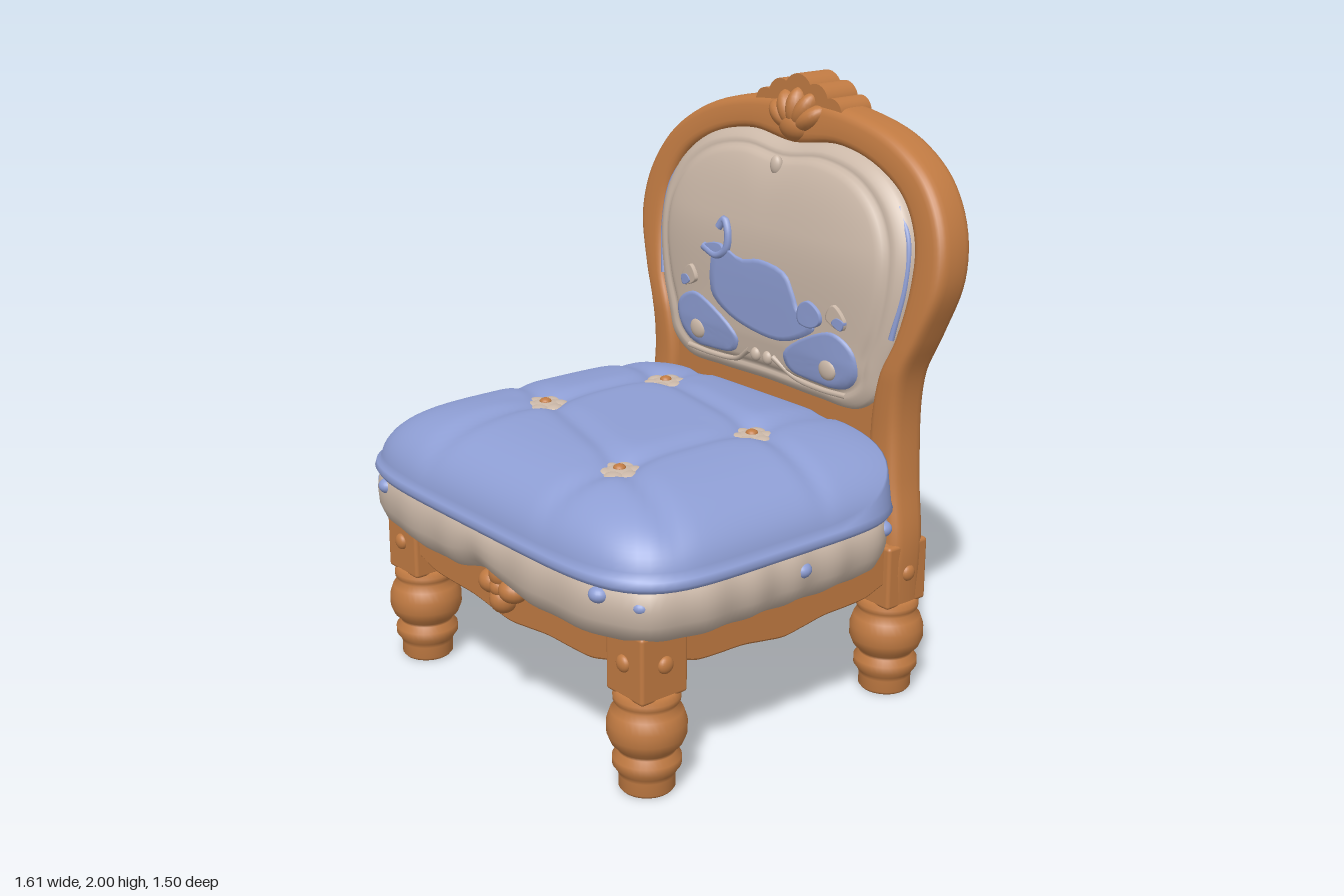
import * as THREE from 'three';
import { RoundedBoxGeometry } from 'three/addons/geometries/RoundedBoxGeometry.js';

const mat = (name, color) => Object.assign(new THREE.MeshStandardMaterial({ color }), { name });

export function createModel() {
  const wood = mat('wood', 0xc07a42), blue = mat('blue fabric', 0x8e9ed4), cream = mat('cream fabric', 0xcbb8a8);
  const root = new THREE.Group();
  root.name = 'chair';
  const add = (name, geo, m, x = 0, y = 0, z = 0) => {
    const mesh = new THREE.Mesh(geo, m);
    mesh.name = name;
    mesh.position.set(x, y, z);
    root.add(mesh);
    return mesh;
  };
  const blob = (name, m, x, y, z, sx, sy, sz, rz = 0) => {
    const b = add(name, new THREE.SphereGeometry(1, 20, 14), m, x, y, z);
    b.scale.set(sx, sy, sz);
    b.rotation.z = rz;
  };
  // Smooth surface f(u, v), closed around u
  const surface = (f, nu, nv) => {
    const pos = [], idx = [];
    for (let j = 0; j <= nv; j++) for (let i = 0; i < nu; i++) pos.push(...f(i / nu, j / nv));
    for (let j = 0; j < nv; j++) for (let i = 0; i < nu; i++) {
      const k = (i + 1) % nu, a = j * nu + i, b = j * nu + k, c = b + nu, d = a + nu;
      idx.push(a, b, c, a, c, d);
    }
    const g = new THREE.BufferGeometry();
    g.setAttribute('position', new THREE.Float32BufferAttribute(pos, 3));
    g.setIndex(idx);
    g.computeVertexNormals();
    return g;
  };
  const spline = (pts, closed = false) => new THREE.CatmullRomCurve3(pts.map(p => new THREE.Vector3(p[0], p[1], p[2] || 0)), closed);
  const mirror = pts => pts.map(([x, y]) => [-x, y]).reverse();
  const sp = (v, e) => Math.sign(v) * Math.abs(v) ** e;
  const gauss = (d, w) => Math.exp(-((d / w) ** 2));
  const step = THREE.MathUtils.smoothstep;

  // Backward lean of the back at height y
  const lean = y => -0.51 - 0.04 * step(y, 0.4, 0.95) - 0.12 * Math.max(0, (y - 1.1) / 0.8) ** 1.15;

  // Bent back frame with both posts
  const outer = [[.68, .33], [.68, .55], [.64, .75], [.62, .95], [.635, 1.1], [.69, 1.24], [.748, 1.42], [.728, 1.58], [.635, 1.73], [.47, 1.84], [.25, 1.9], [0, 1.92]];
  const inner = [[.5, .33], [.5, .55], [.5, .75], [.5, .95], [.53, 1.1], [.58, 1.22], [.61, 1.4], [.6, 1.54], [.53, 1.66], [.4, 1.74], [.21, 1.785], [0, 1.76]];
  const arch = half => spline([...half.map(([x, y]) => [-x, y]), ...half.slice(0, -1).reverse()]);
  const oc = arch(outer), ic = arch(inner);
  add('backFrame', surface((u, v) => {
    const o = oc.getPoint(v), i = ic.getPoint(v), a = u * Math.PI * 2;
    const k = 0.5 + 0.5 * sp(Math.cos(a), 0.55), y = i.y + (o.y - i.y) * k;
    return [i.x + (o.x - i.x) * k, y, lean(y) + 0.076 * sp(Math.sin(a), 0.55)];
  }, 28, 120), wood);

  // Padded back panels
  const half = [[.25, .945], [.42, .95], [.51, 1.01], [.54, 1.1], [.585, 1.22], [.615, 1.4], [.6, 1.54], [.53, 1.66], [.4, 1.75], [.21, 1.79]];
  const rim = spline([[0, .95], ...half, [0, 1.77], ...mirror(half)], true);
  const CY = 1.38, rimPts = rim.getPoints(400);
  const frontZ = (s, y) => lean(y) + 0.045 + (0.055 + 0.05 * step(y, 1.05, 1.5)) * Math.sqrt(Math.max(0, 1 - s ** 4)) - 0.012 * gauss(s - 0.88, 0.025);
  const panelZ = (x, y) => {
    const a = Math.atan2(y - CY, x);
    let best = 9, r = 1;
    for (const p of rimPts) {
      const d = Math.abs(Math.atan2(p.y - CY, p.x) - a);
      if (d < best) { best = d; r = Math.hypot(p.x, p.y - CY); }
    }
    return frontZ(Math.min(1, Math.hypot(x, y - CY) / r), y);
  };
  add('backPanelFront', surface((u, v) => {
    const p = rim.getPoint(u), s = 1 - v ** 1.3, y = CY + (p.y - CY) * s * 1.01;
    return [p.x * s * 1.01, y, frontZ(s, y)];
  }, 120, 40), cream);
  add('backPanelRear', surface((u, v) => {
    const p = rim.getPoint(1 - u), s = 1 - v ** 1.5, y = CY + 0.01 + (p.y - CY) * s * 0.96;
    return [p.x * s, y, lean(y) - 0.05 - 0.052 * Math.sqrt(Math.max(0, 1 - s ** 5))];
  }, 100, 24), blue);
  for (const s of [-1, 1])
    add('sidePiping', new THREE.TubeGeometry(spline([[.575, 1.22], [.603, 1.4], [.59, 1.54], [.53, 1.64]].map(([x, y]) => [s * x, y, lean(y) + .068])), 40, .01, 8), blue);

  // Raised fabric motif on the back
  const patch = (name, m, pts, lift = 0.008) => {
    const c = spline(pts, true), n = pts.length;
    const cx = pts.reduce((t, p) => t + p[0], 0) / n, cy = pts.reduce((t, p) => t + p[1], 0) / n;
    add(name, surface((u, v) => {
      const p = c.getPoint(u), s = v < 0.1 ? 1 : 1 - (v - 0.1) / 0.9;
      const x = cx + (p.x - cx) * s, y = cy + (p.y - cy) * s;
      return [x, y, panelZ(x, y) + (v === 0 ? -0.006 : lift)];
    }, 40, 10), m);
  };
  const strand = (name, m, pts, r) => add(name, new THREE.TubeGeometry(spline(pts.map(([x, y]) => [x, y, panelZ(x, y) + 0.003])), 30, r, 8), m);
  patch('motifBody', blue, [[-.25, 1.23], [-.18, 1.17], [-.05, 1.13], [.1, 1.12], [.2, 1.15], [.27, 1.2], [.2, 1.24], [.17, 1.3], [.13, 1.36], [0, 1.385], [-.1, 1.37], [-.22, 1.4]]);
  strand('motifNeck', blue, [[-.29, 1.38], [-.22, 1.36], [-.17, 1.39], [-.165, 1.45], [-.19, 1.49], [-.215, 1.46]], 0.015);
  patch('motifHead', blue, [[-.3, 1.375], [-.24, 1.355], [-.18, 1.37], [-.19, 1.4], [-.25, 1.4]], 0.012);
  patch('motifTail', blue, [[.2, 1.21], [.26, 1.2], [.3, 1.225], [.295, 1.26], [.24, 1.29], [.2, 1.26]], 0.012);
  const lobe = [[.12, 1.08], [.14, 1.03], [.27, 1.01], [.4, 1.015], [.45, 1.07], [.44, 1.15], [.36, 1.2], [.27, 1.18]];
  const wing = [[.33, 1.25], [.4, 1.22], [.41, 1.25], [.36, 1.3]];
  for (const f of [p => p, mirror]) {
    patch('motifLobe', blue, f(lobe));
    patch('motifWing', cream, f(wing), 0.014);
    patch('motifWingEdge', blue, f([[.36, 1.24], [.4, 1.22], [.41, 1.25], [.38, 1.26]]), 0.018);
    const s = f === mirror ? -1 : 1;
    blob('motifBlossom', cream, s * .33, 1.07, panelZ(.33, 1.07) + .004, .04, .037, .016);
    blob('motifBead', cream, s * .03, 1.04, panelZ(.03, 1.04), .022, .025, .018);
    strand('motifScroll', cream, [[s * .06, 1.05], [s * .15, .995], [s * .28, .985], [s * .4, .99]], 0.01);
  }
  blob('panelButton', cream, 0, 1.7, panelZ(0, 1.7), .025, .035, .02);

  // Carved crest: scalloped top and a fan shell
  for (const [x, y, r] of [[0, 1.93, .07], [.085, 1.915, .06], [-.085, 1.915, .06], [.16, 1.885, .05], [-.16, 1.885, .05]])
    add('crestLobe', new THREE.CylinderGeometry(r, r, .14, 24), wood, x, y, -.675).rotation.x = Math.PI / 2;
  for (let i = -2; i <= 2; i++)
    blob('crestShell', wood, Math.sin(i * .5) * .075, 1.82 + Math.cos(i * .5) * .06, -.615, .04, .075, .058, -i * .5);
  blob('crestTip', wood, 0, 1.825, -.605, .075, .055, .05);

  // Seat outline: rounded square, tufted on top
  const HX = 0.785, HZ = 0.6, ZC = 0.14, N = 5.2;
  const at = (u, s) => {
    const c = Math.cos(u * Math.PI * 2), n = Math.sin(u * Math.PI * 2);
    const k = s / (Math.abs(c) ** N + Math.abs(n) ** N) ** (1 / N);
    return [HX * k * c, ZC - HZ * k * n];
  };
  const tufts = [[-.29, -.27], [.33, -.12], [-.35, .21], [.31, .41]];
  const seatY = (x, z) => {
    const dz = (z - ZC) / HZ * (z < ZC ? 0.75 : 1);
    const s = (Math.abs(x / HX) ** N + Math.abs(dz) ** N) ** (1 / N);
    const h = Math.sqrt(Math.max(0, 1 - s ** 4));
    let dip = 0.016 * (gauss(x + .32, .04) + gauss(x - .32, .04) + gauss(z + .2 - .2 * x, .04) + gauss(z - .31 - .3 * x, .04));
    for (const [tx, tz] of tufts) dip += 0.02 * gauss(Math.hypot(x - tx, z - tz), .1);
    return 0.72 + 0.23 * h - dip * h;
  };
  const lip = [[.97, .695], [1.01, .7], [1.022, .715], [1.015, .735]];
  add('seatTop', surface((u, v) => {
    const j = Math.round(v * 50);
    if (j < 4) { const [x, z] = at(u, lip[j][0]); return [x, lip[j][1], z]; }
    const [x, z] = at(u, 1 - ((j - 4) / 46) ** 1.3);
    return [x, Math.max(.735, seatY(x, z)), z];
  }, 140, 50), blue);
  const side = [[0, .5], [.85, .5], [.93, .515], [.98, .545], [1.005, .59], [1.01, .64], [1, .69], [.96, .72]];
  add('seatBase', surface((u, v) => {
    const [s, y] = side[Math.round(v * 7)];
    const [x, z] = at(u, s + (s > .9 ? 0.006 * Math.sin(u * Math.PI * 48) : 0));
    return [x, y + (z > .5 ? .04 * gauss(x, .12) * THREE.MathUtils.clamp((.69 - y) / .12, 0, 1) : 0), z];
  }, 192, 7), cream);
  add('seatBaseRear', new RoundedBoxGeometry(1.1, .21, .3, 6, .07), cream, 0, .615, -.495);
  add('seatTopRear', new RoundedBoxGeometry(1.06, .07, .3, 4, .025), blue, 0, .735, -.49);

  // Small blue spots pressed into the seat sides, placed by angle around the seat
  for (const s of [-1, 1]) for (const [px, pz, y, r] of [[.6, .72, .67, .033], [.7, .64, .65, .028], [.785, .07, .64, .034], [.76, -.36, .655, .034]]) {
    const a = Math.atan2((ZC - pz) / HZ, s * px / HX) / (Math.PI * 2);
    const [x, z] = at(a, .985);
    blob('spot', blue, x, y, z, r, r * .8, r);
  }

  // Blossom buttons on the seat
  for (const [x, z] of tufts) {
    const y = seatY(x, z) + .008;
    for (let i = 0; i < 6; i++) {
      const a = i * Math.PI / 3;
      blob('blossomPetal', cream, x + Math.cos(a) * .047, y, z + Math.sin(a) * .047, .036, .016, .036);
    }
    blob('blossomDisc', cream, x, y, z, .062, .018, .062);
    blob('blossomCentre', wood, x, y + .015, z, .021, .014, .021);
  }

  // Turned legs with square blocks and studs
  const legProfile = [[0, 0], [.08, 0], [.088, .01], [.088, .05], [.093, .065], [.107, .085], [.107, .11], [.09, .13], [.092, .14], [.112, .16], [.124, .19], [.124, .23], [.112, .265], [.095, .285], [.104, .3], [.105, .315], [.095, .335], [0, .335]];
  const legGeo = new THREE.LatheGeometry(legProfile.map(p => new THREE.Vector2(...p)), 36);
  for (const s of [-1, 1]) for (const [x, z, d] of [[.615, .55, 1], [.59, -.51, -1]]) {
    add('leg', legGeo, wood, s * x, 0, z);
    add('legBlock', new RoundedBoxGeometry(.175, .22, .18, 3, .012), wood, s * x, .435, z);
    blob('legStud', wood, s * (x + .088), .44, z, .018, .028, .028);
    blob('legStud', wood, s * x, .44, z + d * .09, .028, .028, .018);
  }

  // Scalloped apron rails
  const rail = (name, len, x, z, ry) => {
    const w = len / 2, e = [[.18, .37], [.38, .383], [.6, .385], [.78, .39], [.92, .41], [1, .42]];
    const pts = [...mirror(e), [0, .36], ...e].map(([a, b]) => new THREE.Vector2(a * w, b));
    const shape = new THREE.Shape().moveTo(w, .54).lineTo(-w, .54).lineTo(-w, .42).splineThru(pts);
    const g = new THREE.ExtrudeGeometry(shape, { depth: .08, bevelThickness: .012, bevelSize: .008, bevelSegments: 2, curveSegments: 40 });
    g.translate(0, 0, -.04);
    add(name, g, wood, x, 0, z).rotation.y = ry;
  };
  rail('frontRail', 1.1, 0, .57, 0);
  rail('backRail', 1.06, 0, -.53, 0);
  for (const s of [-1, 1]) rail('sideRail', .92, s * .6, .02, Math.PI / 2);

  // Carved rosette on the front apron
  for (const [x, y, sx, sy] of [[.055, .485, .052, .042], [-.055, .485, .052, .042], [0, .53, .046, .052], [0, .44, .045, .05], [0, .485, .04, .04]])
    blob('apronRosette', wood, x, y, .64, sx, sy, .05);

  // Lower cross rail of the back
  const cross = new THREE.Shape().moveTo(-.53, .755).lineTo(.53, .755).lineTo(.53, 1.1)
    .splineThru([[.46, 1.02], [.3, .98], [.12, .985], [0, .99], [-.12, .985], [-.3, .98], [-.46, 1.02], [-.53, 1.1]].map(p => new THREE.Vector2(...p)));
  add('crossRail', new THREE.ExtrudeGeometry(cross, { depth: .09, bevelThickness: .01, bevelSize: .006, bevelSegments: 2, curveSegments: 30 }), wood, 0, 0, -.61);

  return root;
}
